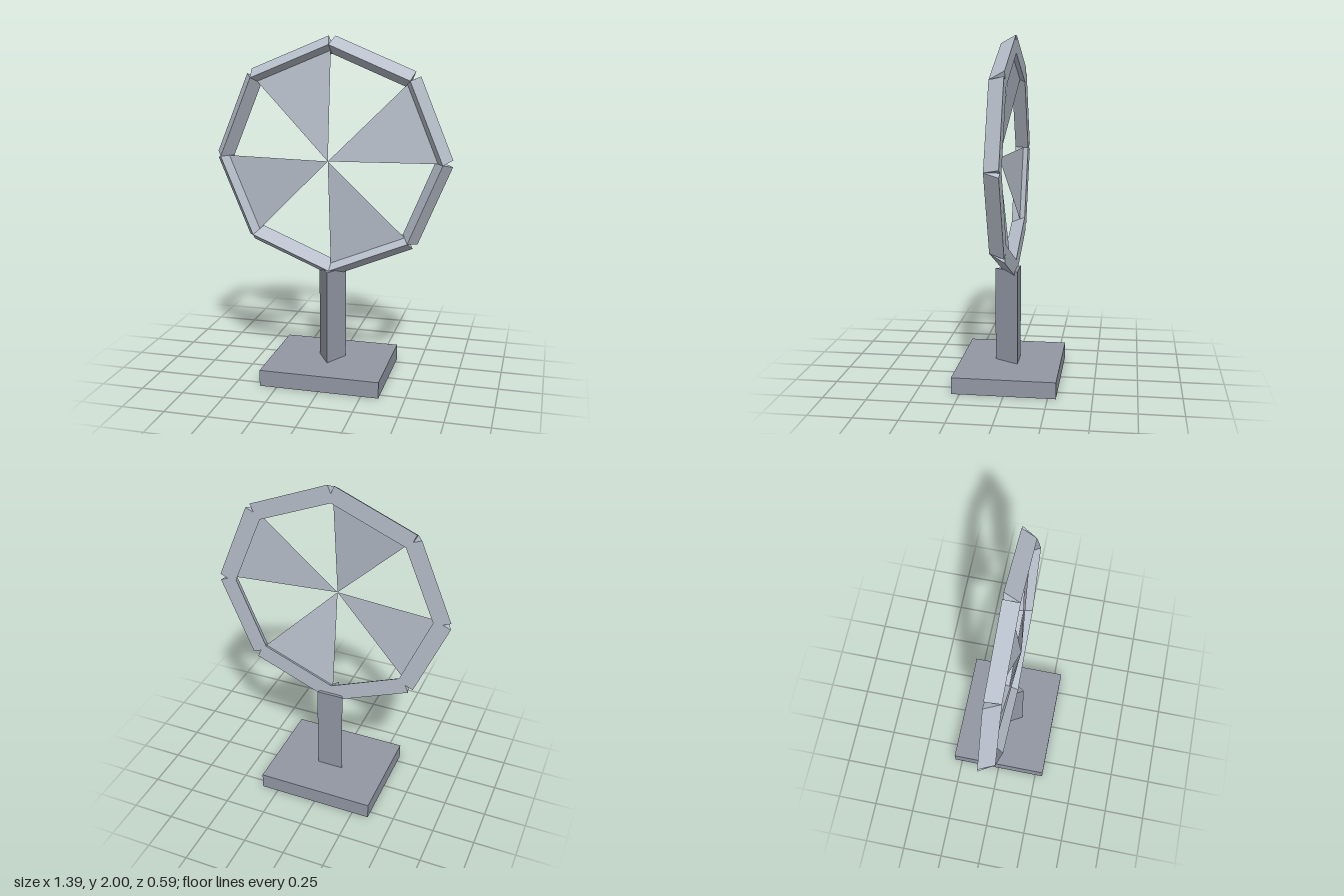
import * as THREE from 'three';

export function createModel() {
  const model = new THREE.Group();
  const baseGrey = new THREE.MeshStandardMaterial({ color: 0x9297a3, flatShading: true });
  baseGrey.name = 'base grey';
  const paleGrey = new THREE.MeshStandardMaterial({ color: 0xb8c0cc, flatShading: true, side: THREE.DoubleSide });
  paleGrey.name = 'pale grey';

  const SIDES = 8, R = 0.65, CENTRE_Y = 1.304, BAR = 0.058;

  const add = (parent, name, geometry, material, x = 0, y = 0, z = 0) => {
    const mesh = new THREE.Mesh(geometry, material);
    mesh.name = name;
    mesh.position.set(x, y, z);
    parent.add(mesh);
    return mesh;
  };

  // Foot slab and three-sided post with its ridge to the front
  add(model, 'base', new THREE.BoxGeometry(0.704, 0.096, 0.594), baseGrey, 0, 0.048, 0);
  add(model, 'post', new THREE.CylinderGeometry(0.0935, 0.0935, 0.558, 3), baseGrey, 0, 0.374, 0);

  const wheel = new THREE.Group();
  wheel.name = 'wheel';
  wheel.position.y = CENTRE_Y;
  model.add(wheel);

  // Octagonal rim of separate triangular bars, ridge to the front
  const step = (Math.PI * 2) / SIDES;
  const barLength = 2 * R * Math.sin(step / 2);
  const apothem = R * Math.cos(step / 2);
  const barGeometry = new THREE.CylinderGeometry(BAR, BAR, barLength, 3);
  for (let i = 0; i < SIDES; i++) {
    const a = (i + 0.5) * step;
    const bar = add(wheel, 'rimBar', barGeometry, paleGrey, Math.cos(a) * apothem, Math.sin(a) * apothem, 0);
    bar.rotation.z = a;
  }

  // Blades fill every second sector and rise to a point at the hub
  const blade = new THREE.BufferGeometry().setFromPoints([
    new THREE.Vector3(0, 0, 0.07),
    new THREE.Vector3(R, 0, 0),
    new THREE.Vector3(R * Math.cos(step), R * Math.sin(step), 0),
  ]);
  blade.computeVertexNormals();
  for (let i = 0; i < SIDES; i += 2) {
    add(wheel, 'blade', blade, paleGrey).rotation.z = i * step;
  }

  return model;
}
